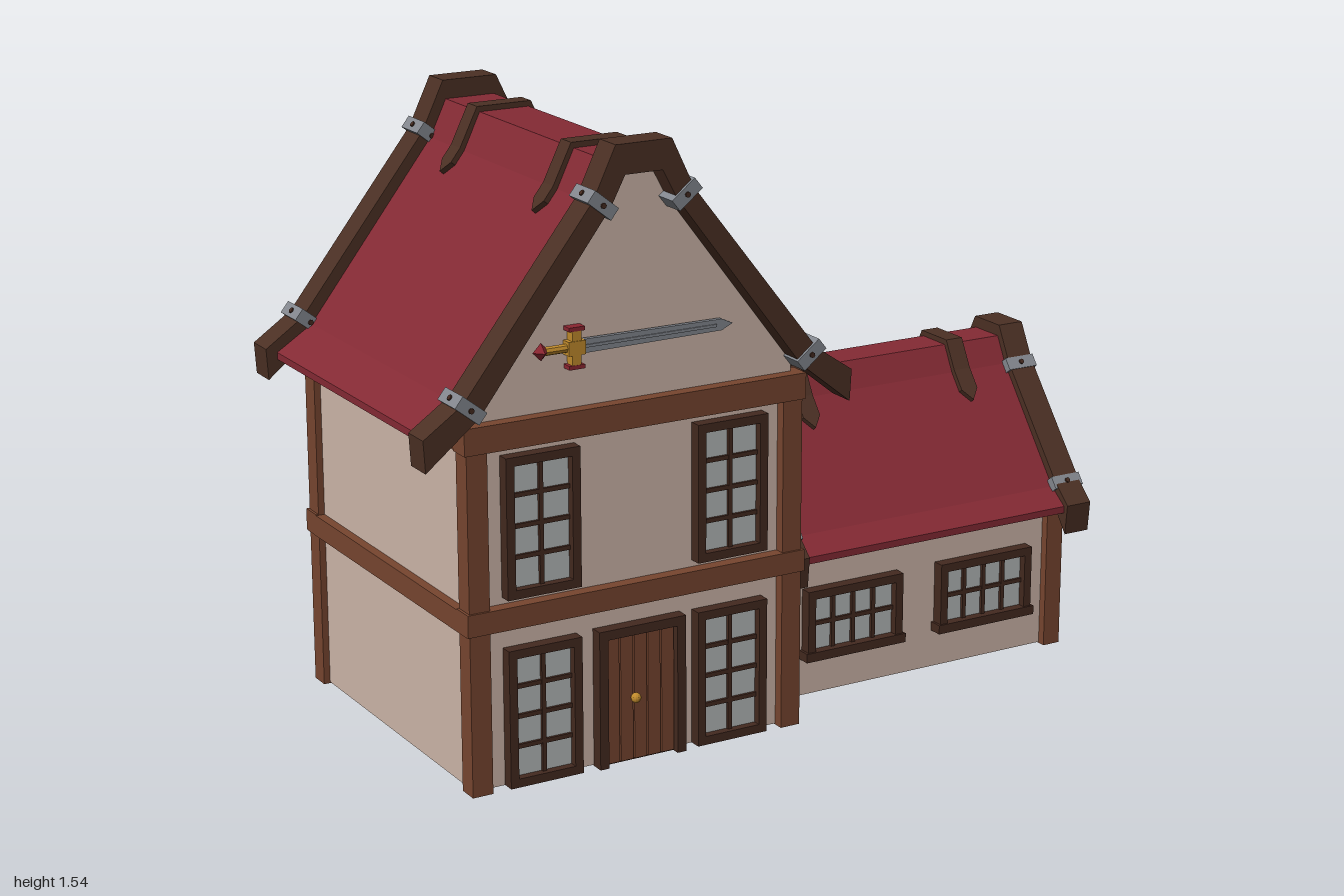
import * as THREE from 'three';

const mat = (color) => new THREE.MeshStandardMaterial({ color, flatShading: true });
const M = {
  wall: mat(0xcdb6a9), roof: mat(0x842a34), post: mat(0x77452f), dark: mat(0x4b3024),
  frame: mat(0x43291f), glass: mat(0xb4b8b8), steel: mat(0x83878e), gold: mat(0xc08a2c), red: mat(0x8a2530),
};

function add(parent, name, geo, material, x = 0, y = 0, z = 0) {
  const m = new THREE.Mesh(geo, material);
  m.name = name;
  m.position.set(x, y, z);
  parent.add(m);
  return m;
}
const box = (p, name, material, w, h, d, x, y, z) => add(p, name, new THREE.BoxGeometry(w, h, d), material, x, y, z);

// Extrude a polygon from z0 to z1
function prism(points, z0, z1) {
  const shape = new THREE.Shape(points.map(([x, y]) => new THREE.Vector2(x, y)));
  return new THREE.ExtrudeGeometry(shape, { depth: z1 - z0, bevelEnabled: false }).translate(0, 0, z0);
}
const mirror = (half) => half.map(([x, y]) => [-x, y]).reverse();
// Symmetric band between outer and inner half profiles (ridge to eave)
const band = (outer, inner) => [...mirror(outer), ...outer, ...[...inner].reverse(), ...mirror(inner).reverse()];

// Gabled body, roof, end trusses, clamps and ridge straps; ridge runs along z
function gabledSection(s) {
  const g = new THREE.Group();
  add(g, 'walls', prism([...mirror(s.body), ...s.body], ...s.bodyZ), M.wall);
  add(g, 'roof', prism(band(s.roofOuter, s.roofInner), ...s.roofZ), M.roof);

  for (const [z0, z1] of s.trussZ) {
    add(g, 'gableTruss', prism(band(s.trussOuter, s.trussInner), z0, z1), M.dark);
    for (const side of [-1, 1]) for (const [x, y, angle] of s.clamps) {
      const c = new THREE.Group();
      c.name = 'trussClamp';
      c.position.set(side * x, y, (z0 + z1) / 2);
      c.rotation.z = -side * angle;
      const depth = z1 - z0 + 0.014;
      box(c, 'clampBand', M.steel, 0.034, s.clampSize, depth, 0, 0, 0);
      for (const e of [-1, 1]) {
        const r = add(c, 'clampRivet', new THREE.CylinderGeometry(0.007, 0.007, 0.008, 8), M.frame, 0, 0, e * depth / 2);
        r.rotation.x = Math.PI / 2;
      }
      add(c, 'clampRivet', new THREE.CylinderGeometry(0.007, 0.007, 0.008, 8), M.frame, 0, s.clampSize / 2, 0);
      g.add(c);
    }
  }

  // Ridge straps with pointed ends
  const [a, b] = s.roofOuter, [tx, ty] = s.strapTip, t = 0.014;
  const dir = new THREE.Vector2(tx - b[0], ty - b[1]);
  const reach = dir.length();
  dir.normalize();
  const end = [tx - dir.x * 0.032, ty - dir.y * 0.032];
  const lift = ([x, y]) => [x - dir.y * t, y + dir.x * t];
  const inner = [a, b, end];
  const outer = [[a[0] + 0.007, a[1] + t], lift(b), lift(end)];
  for (const z of s.straps) {
    add(g, 'ridgeStrap', prism(band(outer, inner), z - 0.025, z + 0.025), M.dark);
    for (const side of [-1, 1]) {
      const tip = prism([[0, -0.025], [0.032, 0], [0, 0.025]], 0, t);
      const u = new THREE.Vector3(side * dir.x, dir.y, 0);
      const n = new THREE.Vector3(-side * dir.y, dir.x, 0);
      const v = new THREE.Vector3().crossVectors(n, u);
      tip.applyMatrix4(new THREE.Matrix4().makeBasis(u, v, n));
      add(g, 'strapTip', tip, M.dark, side * end[0], end[1], z);
    }
  }
  return g;
}

// Paned window facing +z, origin at bottom centre
function paneWindow(w, h, cols, rows, sill) {
  const g = new THREE.Group(), f = 0.022;
  g.name = 'window';
  box(g, 'glass', M.glass, w - f, h - f, 0.012, 0, h / 2, 0.003);
  for (const s of [-1, 1]) {
    box(g, 'frameSide', M.frame, f, h, 0.04, s * (w - f) / 2, h / 2, 0.01);
    box(g, 'frameRail', M.frame, w - 2 * f, f, 0.04, 0, h / 2 + s * (h - f) / 2, 0.01);
  }
  for (let i = 1; i < cols; i++) box(g, 'verticalBar', M.frame, 0.011, h - f, 0.02, -w / 2 + f + (w - 2 * f) * i / cols, h / 2, 0.007);
  for (let i = 1; i < rows; i++) box(g, 'crossBar', M.frame, w - f, 0.011, 0.018, 0, f + (h - 2 * f) * i / rows, 0.007);
  if (sill) box(g, 'sill', M.frame, w + 0.014, 0.024, 0.05, 0, 0.01, 0.01);
  return g;
}

function place(parent, obj, x, y, z, ry = 0) {
  obj.position.set(x, y, z);
  obj.rotation.y = ry;
  parent.add(obj);
}

// Plank door with frame and knob
function door() {
  const g = new THREE.Group();
  g.name = 'door';
  for (const s of [-1, 1]) box(g, 'doorJamb', M.frame, 0.024, 0.355, 0.05, s * 0.108, 0.1775, 0.007);
  box(g, 'doorLintel', M.frame, 0.192, 0.024, 0.05, 0, 0.343, 0.007);
  box(g, 'doorBack', M.frame, 0.192, 0.331, 0.02, 0, 0.1655, 0);
  for (let i = 0; i < 5; i++) box(g, 'doorPlank', M.post, 0.034, 0.322, 0.024, (i - 2) * 0.038, 0.166, 0.006);
  add(g, 'doorKnob', new THREE.SphereGeometry(0.013, 12, 8), M.gold, -0.022, 0.17, 0.034);
  return g;
}

// Ornamental sword, blade along +x
function sword() {
  const g = new THREE.Group();
  g.name = 'wallSword';
  add(g, 'blade', prism([[0, -0.017], [0.385, -0.014], [0.415, 0], [0.385, 0.014], [0, 0.017]], -0.006, 0.006), M.steel);
  box(g, 'bladeRidge', M.steel, 0.37, 0.007, 0.018, 0.185, 0, 0);
  box(g, 'guard', M.gold, 0.024, 0.085, 0.026, -0.012, 0, 0);
  box(g, 'guardCentre', M.gold, 0.045, 0.034, 0.03, -0.012, 0, 0);
  for (const s of [-1, 1]) box(g, 'guardEnd', M.red, 0.042, 0.01, 0.028, -0.012, s * 0.046, 0);
  const grip = add(g, 'grip', new THREE.CylinderGeometry(0.011, 0.011, 0.07, 8), M.gold, -0.055, 0, 0);
  grip.rotation.z = Math.PI / 2;
  add(g, 'pommel', new THREE.OctahedronGeometry(0.022), M.red, -0.1, 0, 0);
  return g;
}

export function createModel() {
  const model = new THREE.Group();
  model.name = 'house';

  // Tall main house
  const main = gabledSection({
    body: [[0.045, 1.48], [0.088, 1.4], [0.44, 0.945], [0.44, 0.003]], bodyZ: [-0.425, 0.425],
    roofOuter: [[0.068, 1.497], [0.113, 1.403], [0.455, 0.963], [0.55, 0.903]],
    roofInner: [[0.05, 1.47], [0.088, 1.395], [0.435, 0.945], [0.55, 0.885]], roofZ: [-0.42, 0.42],
    trussOuter: [[0.075, 1.545], [0.135, 1.42], [0.477, 0.985], [0.58, 0.915]],
    trussInner: [[0.05, 1.472], [0.088, 1.4], [0.435, 0.947], [0.575, 0.835]],
    trussZ: [[-0.482, -0.406], [0.406, 0.482]],
    clamps: [[0.112, 1.408, 0.9], [0.46, 0.97, 0.9]], clampSize: 0.078,
    straps: [-0.243, 0.243], strapTip: [0.158, 1.345],
  });
  main.name = 'mainHouse';
  place(model, main, -0.42, 0, 0);

  for (const sx of [-1, 1]) {
    for (const sz of [-1, 1]) box(main, 'cornerPost', M.post, 0.054, 0.9, 0.054, sx * 0.43, 0.45, sz * 0.425);
    box(main, 'sideBeam', M.post, 0.06, 0.055, 0.9, sx * 0.434, 0.433, 0);
    box(main, 'sideTopBeam', M.post, 0.05, 0.045, 0.85, sx * 0.43, 0.87, 0);
  }
  for (const sz of [-1, 1]) {
    box(main, 'floorBeam', M.post, 0.928, 0.056, 0.06, 0, 0.435, sz * 0.428);
    box(main, 'gableBeam', M.post, 0.928, 0.066, 0.06, 0, 0.884, sz * 0.428);
  }
  for (const sx of [-1, 1]) for (const y of [0.003, 0.48]) place(main, paneWindow(0.197, 0.35, 2, 4), sx * 0.259, y, 0.427);
  place(main, door(), 0.005, 0, 0.427);
  place(main, sword(), -0.152, 1.067, 0.438);

  // Low side wing; its ridge is turned to run along x
  const wing = gabledSection({
    body: [[0.035, 0.77], [0.065, 0.71], [0.298, 0.428], [0.298, 0.003]], bodyZ: [0.02, 0.925],
    roofOuter: [[0.05, 0.79], [0.086, 0.722], [0.31, 0.44], [0.365, 0.4]],
    roofInner: [[0.04, 0.757], [0.065, 0.705], [0.295, 0.425], [0.365, 0.382]], roofZ: [0.03, 0.93],
    trussOuter: [[0.055, 0.82], [0.104, 0.728], [0.324, 0.457], [0.38, 0.405]],
    trussInner: [[0.037, 0.757], [0.065, 0.708], [0.293, 0.43], [0.372, 0.325]],
    trussZ: [[0.034, 0.11], [0.91, 0.984]],
    clamps: [[0.085, 0.708, 0.9], [0.303, 0.437, 0.9]], clampSize: 0.06,
    straps: [0.27, 0.763], strapTip: [0.142, 0.652],
  });
  wing.name = 'sideWing';
  place(model, wing, 0, 0, 0, Math.PI / 2);

  for (const x of [0.055, 0.916]) for (const sz of [-1, 1]) box(model, 'wingPost', M.post, 0.05, 0.42, 0.05, x, 0.21, sz * 0.295);
  for (const x of [0.285, 0.692]) place(model, paneWindow(0.288, 0.186, 4, 2, true), x, 0.105, 0.3);
  place(model, paneWindow(0.288, 0.186, 4, 2, true), 0.927, 0.105, 0, Math.PI / 2);

  return model;
}
